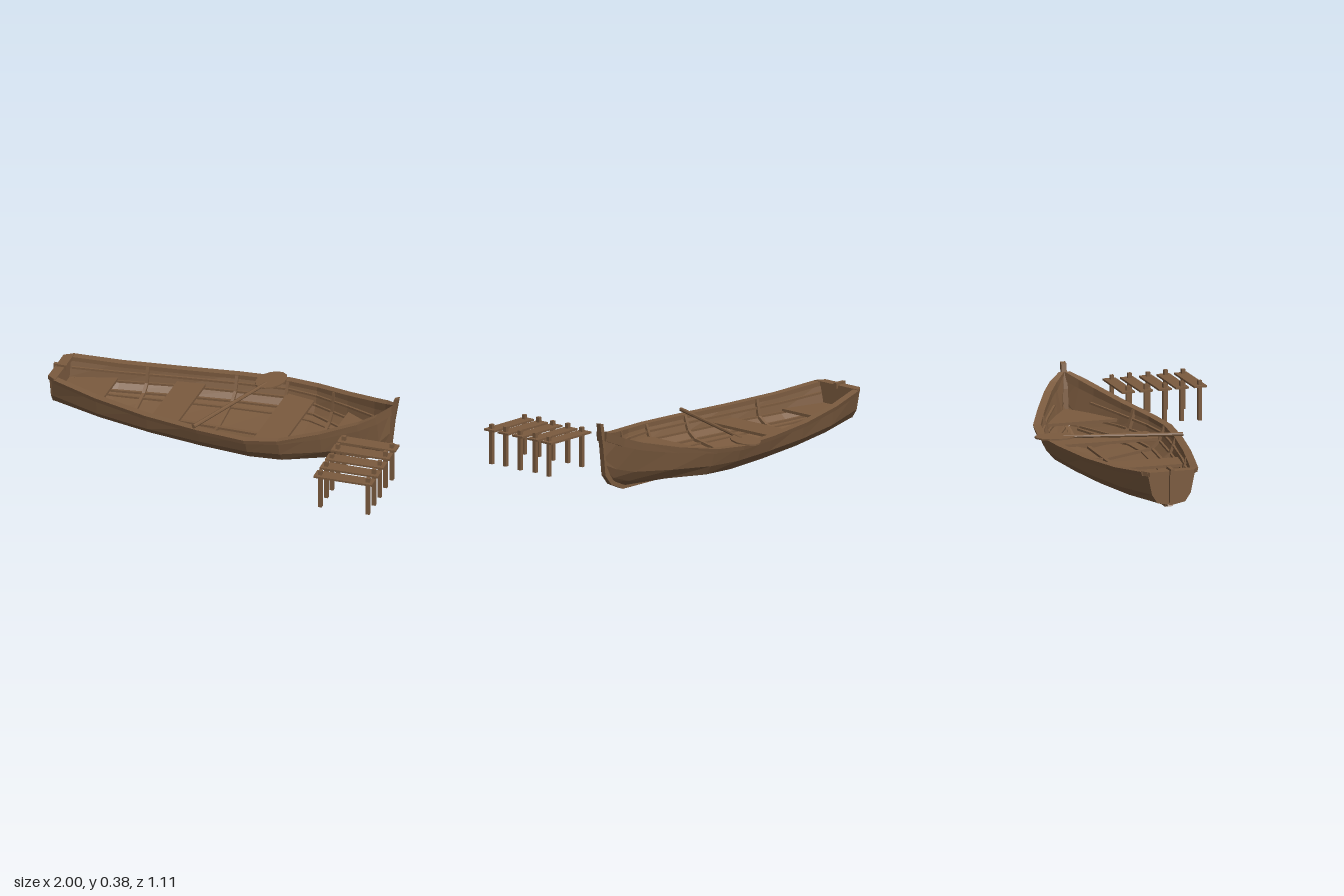
import * as THREE from 'three';

const wood = new THREE.MeshStandardMaterial({ color: 0x7b5b3f, flatShading: true });
wood.name = 'brown wood';

function add(parent, name, geo, x = 0, y = 0, z = 0) {
  const mesh = new THREE.Mesh(geo, wood);
  mesh.name = name;
  mesh.position.set(x, y, z);
  parent.add(mesh);
  return mesh;
}
const box = (w, h, d) => new THREE.BoxGeometry(w, h, d);

// Hull stations: x, keel height, then half width and height of lower chine, upper chine, sheer
const stations = [
  [-0.97, 0.055, 0.075, 0.07, 0.105, 0.115, 0.13, 0.235],
  [-0.7, 0.02, 0.14, 0.055, 0.185, 0.1, 0.2, 0.205],
  [-0.4, 0.013, 0.2, 0.05, 0.25, 0.097, 0.268, 0.19],
  [-0.1, 0.011, 0.245, 0.05, 0.29, 0.097, 0.318, 0.187],
  [0.17, 0.011, 0.27, 0.05, 0.315, 0.1, 0.345, 0.187],
  [0.34, 0.012, 0.25, 0.05, 0.285, 0.1, 0.315, 0.197],
  [0.54, 0.013, 0.15, 0.05, 0.2, 0.105, 0.227, 0.23],
  [0.72, 0.02, 0.055, 0.055, 0.095, 0.11, 0.135, 0.273],
  [0.8, 0.055, 0.022, 0.08, 0.045, 0.13, 0.08, 0.302],
  [0.862, 0.15, 0.004, 0.16, 0.006, 0.19, 0.01, 0.335],
];

// Half section at x, as [half width, height] from keel to sheer, moved inward by inset
function section(x, inset = 0) {
  let i = 0;
  while (i < stations.length - 2 && x > stations[i + 1][0]) i++;
  const a = stations[i], b = stations[i + 1], t = (x - a[0]) / (b[0] - a[0]);
  const s = a.map((v, k) => v + (b[k] - v) * t);
  return [[0, s[1] + inset], [s[2], s[3] + inset], [s[4], s[5] + inset * 0.5], [s[6], s[7]]]
    .map(([w, y], k) => [k ? Math.max(w - inset, 0.001 * k) : 0, y]);
}

// Point on a section at a fractional level (0 keel, 3 sheer)
function atLevel(x, level, inset) {
  const s = section(x, inset), i = Math.min(2, Math.floor(level)), t = level - i;
  return [0, 1].map(k => s[i][k] + (s[i + 1][k] - s[i][k]) * t);
}

// Half width of the inside of the hull at height y
function halfAt(x, y) {
  const s = section(x, 0.012);
  const i = y < s[2][1] ? 1 : 2;
  return s[i][0] + (s[i + 1][0] - s[i][0]) * (y - s[i][1]) / (s[i + 1][1] - s[i][1]);
}

// Both sides of a section as one U, from right sheer to left sheer
const wholeU = s => [...s.slice(1).reverse().map(([w, y]) => [-w, y]), ...s];

// Skin between rings; each ring is a strip out and the matching strip back, so the ends cap in quads
function loft(rings) {
  const m = rings[0].length, n = m / 2, index = [];
  const quad = (a, b, c, d) => index.push(a, b, c, a, c, d);
  for (let r = 0; r < rings.length - 1; r++)
    for (let k = 0; k < m; k++) {
      const j = (k + 1) % m;
      quad(r * m + k, r * m + j, (r + 1) * m + j, (r + 1) * m + k);
    }
  const e = (rings.length - 1) * m;
  for (let k = 0; k < n - 1; k++) {
    const q = [k, k + 1, m - 2 - k, m - 1 - k];
    quad(...q.slice().reverse());
    quad(...q.map(v => v + e));
  }
  // Turn faces outward when the enclosed volume is negative
  const pts = rings.flat().map(p => new THREE.Vector3(...p));
  let volume = 0;
  for (let i = 0; i < index.length; i += 3)
    volume += pts[index[i]].dot(pts[index[i + 1]].clone().cross(pts[index[i + 2]]));
  if (volume < 0) index.reverse();
  const indexed = new THREE.BufferGeometry().setFromPoints(pts);
  indexed.setIndex(index);
  const geo = indexed.toNonIndexed();
  geo.computeVertexNormals();
  return geo;
}
const ring = (x, outer, inner) => [...outer, ...inner.slice().reverse()].map(([z, y]) => [x, y, z]);

function outline(points, depth) {
  const shape = new THREE.Shape(points.map(p => new THREE.Vector2(...p)));
  return new THREE.ExtrudeGeometry(shape, { depth, bevelEnabled: false });
}

function buildBoat() {
  const boat = new THREE.Group();
  boat.name = 'rowing boat';
  const xs = stations.map(s => s[0]);

  add(boat, 'hull', loft(xs.map(x => ring(x, wholeU(section(x)), wholeU(section(x, 0.012))))));

  // Stern board and its cap
  add(boat, 'transom', loft([-0.98, -0.95].map(x => {
    const u = wholeU(section(-0.97));
    return ring(x, u, u.map(([z]) => [z, 0.235]));
  })));
  const cap = outline([[-0.99, -0.12], [-0.94, -0.153], [-0.94, 0.153], [-0.99, 0.12]], 0.022);
  add(boat, 'transomCap', cap.rotateX(Math.PI / 2), 0, 0.238, 0);
  add(boat, 'sternPost', box(0.02, 0.17, 0.025), -0.985, 0.155, 0);
  add(boat, 'sternBlock', box(0.07, 0.03, 0.02), -0.965, 0.235, 0);

  // Keel and stem in one bent timber
  add(boat, 'keelAndStem', outline([
    [-0.965, 0.045], [-0.7, 0.012], [-0.3, 0], [0.72, 0.005], [0.81, 0.045], [0.855, 0.1], [0.872, 0.25],
    [0.895, 0.385], [0.872, 0.38], [0.845, 0.25], [0.83, 0.13], [0.785, 0.065], [0.7, 0.03],
    [-0.3, 0.02], [-0.7, 0.03], [-0.95, 0.065]], 0.028), 0, 0, -0.014);
  add(boat, 'keelson', box(1.5, 0.012, 0.02), -0.15, 0.034, 0);

  for (const side of [1, -1]) {
    // Gunwale rail, deeper towards the bow
    add(boat, 'gunwale', loft([-0.95, ...xs.slice(1)].map(x => {
      const [w, y] = section(x)[3];
      const drop = 0.02 + Math.max(0, x - 0.34) * 0.05;
      const inW = Math.max(w - 0.022, 0.001);
      return ring(x, [[side * (w + 0.02), y + 0.003], [side * inW, y + 0.003]],
        [[side * (w + 0.014), y - drop], [side * inW, y - drop]]);
    })));
    // Stringers along the inside
    for (const level of [0.8, 1.1, 2, 2.5]) {
      add(boat, 'stringer', loft([-0.94, ...xs.slice(1, 8)].map(x => {
        const [w, y] = atLevel(x, level, 0.012);
        const a = side * (w + 0.004), b = side * Math.max(w - 0.01, 0.002);
        return ring(x, [[a, y + 0.007], [b, y + 0.007]], [[a, y - 0.004], [b, y - 0.004]]);
      })));
    }
  }

  // Ribs follow the inside of the hull
  for (const x of [-0.56, -0.1, 0.17, 0.45]) {
    add(boat, 'rib', loft([x - 0.008, x + 0.008].map(v =>
      ring(v, wholeU(section(v, 0.008)), wholeU(section(v, 0.026))))));
  }

  // Seats and bow deck, fitted to the hull sides
  const seats = [['sternSeat', -0.95, -0.71], ['middleSeat', -0.41, -0.26],
    ['rowingSeat', 0.17, 0.33], ['bowDeck', 0.55, 0.84]];
  for (const [name, x0, x1] of seats) {
    const stops = [x0, ...xs.filter(x => x > x0 && x < x1), x1];
    add(boat, name, loft(stops.map(x => {
      const y = x0 > 0.5 ? 0.145 : 0.125, w = Math.max(halfAt(x, y), 0.002);
      return ring(x, [[-w, y], [w, y]], [[-w, y - 0.015], [w, y - 0.015]]);
    })));
  }
  return boat;
}

// Oar lying across the gunwales
function buildOar() {
  const oar = new THREE.Group();
  oar.name = 'oar';
  add(oar, 'oarShaft', new THREE.CylinderGeometry(0.009, 0.011, 0.62, 8).rotateX(Math.PI / 2), 0, 0, 0.31);
  const blade = new THREE.CylinderGeometry(1, 1, 0.008, 14).scale(0.07, 1, 0.105);
  add(oar, 'oarBlade', blade, 0, 0, 0.665);
  oar.position.set(-0.115, 0.208, 0.175);
  oar.lookAt(0.12, 0.19, -0.56);
  return oar;
}

// Small jetty of loose planks on posts
function buildJetty() {
  const jetty = new THREE.Group();
  jetty.name = 'jetty';
  const planks = [[0.123, 0.828, 0.02], [0.22, 0.828, 0.03], [0.322, 0.832, 0.03], [0.418, 0.836, 0.02], [0.515, 0.837, 0.03]];
  planks.forEach(([z, x, turn], i) => {
    const bay = new THREE.Group();
    bay.name = 'jettyBay';
    add(bay, 'plank', box(0.318, 0.01, 0.07), 0, 0.25, 0);
    for (const s of [-1, 1])
      add(bay, 'post', box(0.02, 0.212, 0.02), s * 0.13, 0.172 + (i % 2) * 0.004, 0.005);
    bay.position.set(x, 0, z);
    bay.rotation.y = turn;
    jetty.add(bay);
  });
  return jetty;
}

export function createModel() {
  const model = new THREE.Group();
  model.name = 'rowing boat and jetty';
  const boat = buildBoat();
  boat.position.z = -0.162;
  model.add(boat, buildOar(), buildJetty());
  return model;
}
